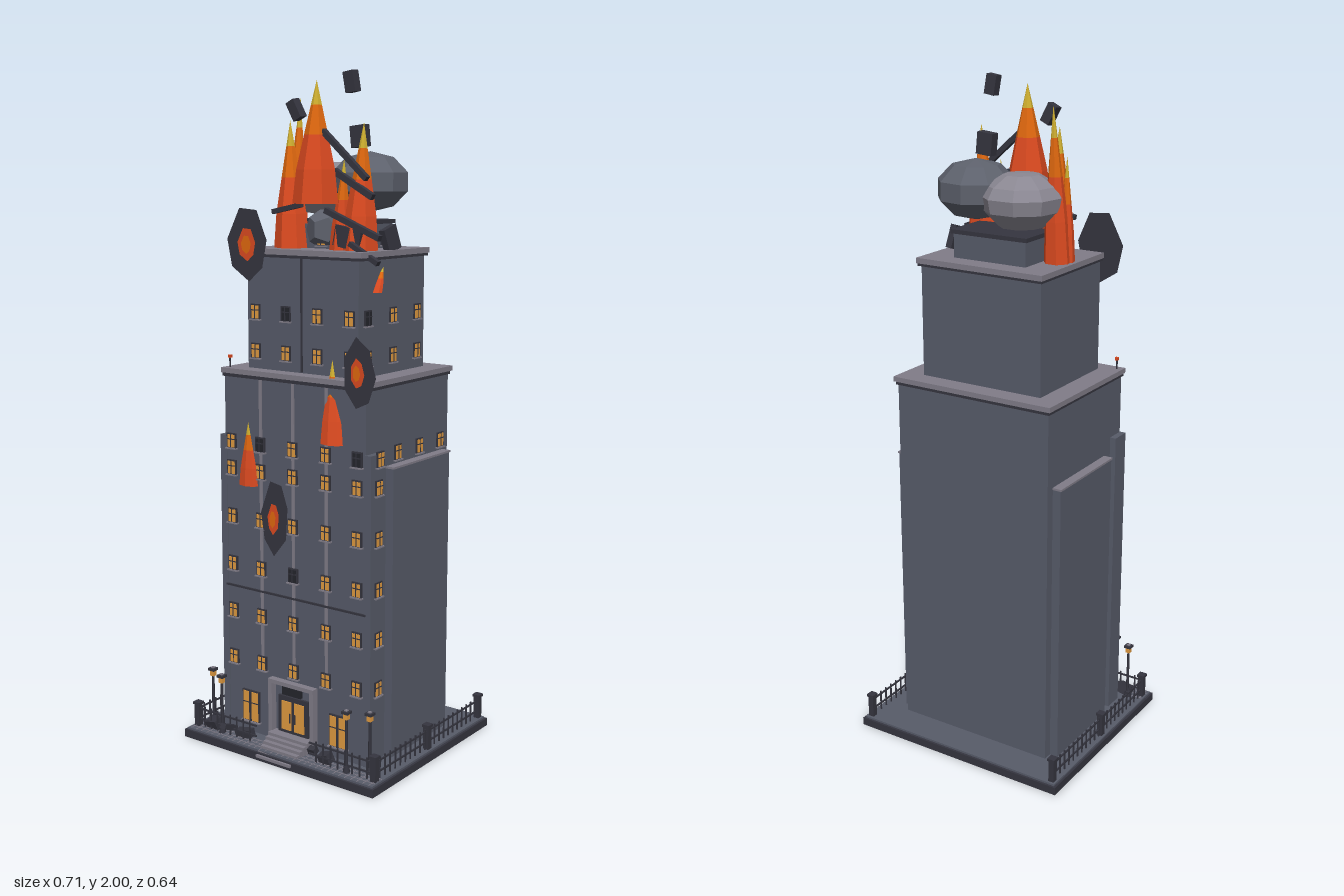
import * as THREE from 'three';

const mat = (name, color, extra = {}) => Object.assign(new THREE.MeshStandardMaterial({ color, ...extra }), { name });

export function createModel() {
  const root = new THREE.Group();
  root.name = 'burningTower';
  const D = { side: THREE.DoubleSide };
  const F = { flatShading: true };
  const wall = mat('wallSlate', 0x575b69);
  const trim = mat('paleTrim', 0x807c88);
  const dark = mat('darkMetal', 0x35353f, D);
  const black = mat('charBlack', 0x24252c);
  const glow = mat('windowGlow', 0xe09a40);
  const red = mat('fireRed', 0xdb4a20, { ...D, ...F });
  const orange = mat('fireOrange', 0xe0680f, { ...D, ...F });
  const yellow = mat('fireYellow', 0xd0b030, { ...D, ...F });
  const smokeDark = mat('smokeDark', 0x5d616c, F);
  const smokeLight = mat('smokeLight', 0x8a8792, F);

  const add = (name, geo, m, x = 0, y = 0, z = 0, parent = root) => {
    const mesh = new THREE.Mesh(geo, m);
    mesh.name = name;
    mesh.position.set(x, y, z);
    parent.add(mesh);
    return mesh;
  };
  const box = (name, m, w, h, d, x, y, z, parent) => add(name, new THREE.BoxGeometry(w, h, d), m, x, y, z, parent);
  // box given by its extents
  const block = (name, m, x0, x1, y0, y1, z0, z1) =>
    box(name, m, x1 - x0, y1 - y0, z1 - z0, (x0 + x1) / 2, (y0 + y1) / 2, (z0 + z1) / 2);

  // Base slab with paving
  block('baseSlab', dark, -0.355, 0.355, 0, 0.024, -0.32, 0.31);
  block('baseTop', wall, -0.348, 0.348, 0.02, 0.03, -0.313, 0.303);
  for (let i = -16; i <= 16; i++) box('pavingJoint', trim, 0.002, 0.002, 0.055, i * 0.021, 0.0305, 0.275);
  for (const z of [0.25, 0.268, 0.285]) box('pavingJoint', trim, 0.69, 0.002, 0.002, 0, 0.0305, z);

  // Tower masses, stepped
  block('mainTower', wall, -0.257, 0.257, 0.03, 1.14, -0.213, 0.21);
  block('mainCornice', trim, -0.267, 0.267, 1.138, 1.153, -0.223, 0.216);
  block('corniceShadow', dark, -0.262, 0.262, 1.128, 1.138, -0.218, 0.214);
  block('sideAnnex', wall, -0.283, 0.283, 0.03, 0.9, -0.185, 0.112);
  block('annexCap', trim, -0.286, 0.286, 0.897, 0.903, -0.187, 0.114);
  block('upperTower', wall, -0.2, 0.2, 1.15, 1.49, -0.163, 0.167);
  block('upperCornice', trim, -0.21, 0.21, 1.489, 1.505, -0.176, 0.17);
  block('upperCorniceEdge', dark, -0.207, 0.207, 1.481, 1.489, -0.172, 0.172);
  block('penthouse', wall, -0.12, 0.12, 1.5, 1.575, -0.115, 0.07);
  block('penthouseCap', dark, -0.126, 0.126, 1.575, 1.587, -0.121, 0.03);
  block('frontLedge', dark, -0.259, 0.259, 0.484, 0.49, 0.2, 0.215);
  for (const x of [-0.12, 0, 0.12]) block('pilaster', trim, x - 0.005, x + 0.005, 0.24, 1.13, 0.2, 0.213);
  block('upperSeam', dark, -0.003, 0.003, 1.155, 1.48, 0.16, 0.17);
  for (const s of [-1, 1]) block('cornerStrip', wall, s * 0.264 - 0.012, s * 0.264 + 0.012, 0.03, 0.95, 0.15, 0.212);

  // Window: dark frame, glowing panes, crossed bars; side=true turns it to face +x
  const windowAt = (x, y, z, side = false, lit = true, w = 0.034, h = 0.046) => {
    const g = new THREE.Group();
    g.name = 'window';
    box('windowFrame', dark, w, h, 0.006, 0, 0, 0, g);
    box('windowPane', lit ? glow : black, w - 0.008, h - 0.008, 0.004, 0, 0, 0.003, g);
    box('windowBar', dark, 0.003, h - 0.006, 0.004, 0, 0, 0.004, g);
    box('windowBar', dark, w - 0.006, 0.003, 0.004, 0, h * 0.12, 0.004, g);
    box('windowSill', trim, w + 0.006, 0.004, 0.012, 0, -h / 2, 0.002, g);
    g.position.set(x, y, z);
    if (side) g.rotation.y = Math.PI / 2;
    root.add(g);
  };
  const rows = [0.262, 0.41, 0.558, 0.706, 0.854, 0.935];
  rows.forEach((y, r) => {
    for (const x of [-0.23, -0.12, 0, 0.12, 0.23]) windowAt(x, y, 0.214, false, (r * 3 + Math.round(x * 20)) % 7 !== 6);
    if (r < 5) windowAt(0.276, y, 0.175, true);
  });
  for (const z of [0.17, 0.055, -0.058, -0.17]) windowAt(z > 0.15 ? 0.277 : 0.258, 0.935, z, true);
  for (const y of [1.205, 1.32]) {
    for (const x of [-0.17, -0.057, 0.057, 0.17]) windowAt(x, y, 0.168, false, !(y > 1.3 && x === -0.057));
    for (const z of [0.125, 0, -0.125]) windowAt(0.201, y, z, true, !(y > 1.3 && z > 0.1));
  }
  windowAt(0, 1.535, 0.071);
  windowAt(0.121, 1.535, -0.07, true);

  // Entrance: doors, surround, canopy plate and flanking shop windows
  block('doorFrame', dark, -0.056, 0.056, 0.065, 0.18, 0.205, 0.218);
  for (const s of [-1, 1]) {
    box('doorPanel', glow, 0.036, 0.09, 0.004, s * 0.024, 0.12, 0.219);
    box('doorHandle', dark, 0.004, 0.03, 0.006, s * 0.009, 0.115, 0.221);
    box('doorColumn', trim, 0.014, 0.19, 0.022, s * 0.078, 0.125, 0.22);
    windowAt(s * 0.165, 0.115, 0.214, false, true, 0.065, 0.1);
    box('shopBar', dark, 0.008, 0.095, 0.006, s * 0.165, 0.115, 0.218);
  }
  box('doorLintel', trim, 0.17, 0.012, 0.024, 0, 0.222, 0.22);
  box('blankPlate', black, 0.07, 0.024, 0.01, 0, 0.2, 0.222);
  for (let i = 0; i < 6; i++) block('step', trim, -0.074 + i * 0.002, 0.074 - i * 0.002, 0.012, 0.065 - i * 0.009, 0.2, 0.247 + i * 0.014);

  // Fence: posts, rails and pickets along the sides and the front
  const fence = (x0, z0, x1, z1) => {
    const len = Math.hypot(x1 - x0, z1 - z0);
    const n = Math.round(len / 0.026);
    for (const y of [0.052, 0.085]) {
      const r = box('fenceRail', dark, len, 0.005, 0.004, (x0 + x1) / 2, y, (z0 + z1) / 2);
      if (x0 === x1) r.rotation.y = Math.PI / 2;
    }
    for (let i = 1; i < n; i++) box('fencePicket', dark, 0.004, 0.065, 0.004, x0 + (x1 - x0) * i / n, 0.062, z0 + (z1 - z0) * i / n);
  };
  for (const s of [-1, 1]) {
    for (const z of [-0.297, -0.005, 0.27]) {
      box('fencePost', dark, 0.018, 0.075, 0.018, s * 0.333, 0.065, z);
      box('fencePostCap', dark, 0.024, 0.008, 0.024, s * 0.333, 0.103, z);
    }
    fence(s * 0.333, -0.28, s * 0.333, 0.27);
    fence(s * 0.333, 0.27, s * 0.1, 0.27);
    // Street lamps
    for (const [x, z] of [[0.235, 0.27], [0.296, 0.241]]) {
      add('lampBase', new THREE.CylinderGeometry(0.008, 0.011, 0.02, 8), dark, s * x, 0.04, z);
      add('lampPole', new THREE.CylinderGeometry(0.004, 0.005, 0.16, 8), dark, s * x, 0.11, z);
      box('lampLight', glow, 0.014, 0.018, 0.014, s * x, 0.2, z);
      box('lampCap', dark, 0.022, 0.008, 0.022, s * x, 0.212, z);
      box('lampCapTop', trim, 0.01, 0.004, 0.01, s * x, 0.217, z);
    }
    // Roof beacons
    box('beaconPole', dark, 0.004, 0.03, 0.004, s * 0.25, 1.167, 0.193);
    box('beaconLight', red, 0.009, 0.009, 0.009, s * 0.25, 1.185, 0.193);
  }

  // Flames: three stacked open frusta, leaning by (lx, lz) at the tip
  const flame = (x, y, z, r, h, lx = 0, lz = 0, flat = 1) => {
    const g = new THREE.Group();
    g.name = 'flame';
    const cuts = [[0, 1], [0.28, 0.84], [0.56, 0.52], [0.8, 0.24], [1, 0]];
    [red, red, orange, yellow].forEach((m, i) => {
      const [a, ra] = cuts[i], [b, rb] = cuts[i + 1];
      const geo = new THREE.CylinderGeometry(r * rb, r * ra, h * (b - a), 7, 1, i > 0);
      geo.translate(0, h * (a + b) / 2, 0);
      const p = geo.attributes.position;
      for (let k = 0; k < p.count; k++) {
        const t = p.getY(k) / h;
        p.setXYZ(k, p.getX(k) + lx * t, p.getY(k), p.getZ(k) * flat + lz * t);
      }
      geo.computeVertexNormals();
      add('flameTier', geo, m, 0, 0, 0, g);
    });
    g.position.set(x, y, z);
    root.add(g);
  };
  flame(0.022, 1.635, 0.126, 0.068, 0.34, 0.003, 0);
  flame(-0.16, 1.5, -0.01, 0.04, 0.44, 0.006, -0.02);
  flame(-0.105, 1.5, 0.073, 0.055, 0.37, -0.015, -0.01);
  flame(0.135, 1.5, 0.07, 0.055, 0.36, 0.005, -0.01);
  flame(-0.175, 1.5, 0.012, 0.026, 0.3, 0, 0);
  flame(0.08, 1.5, 0.085, 0.035, 0.26, 0.01, 0);
  flame(-0.16, 0.81, 0.222, 0.034, 0.19, 0, -0.002, 0.5);
  flame(0.146, 0.97, 0.222, 0.038, 0.235, -0.022, -0.035, 0.5);
  flame(0.2, 1.39, 0.085, 0.02, 0.07, 0.005, -0.03, 0.7);

  // Blast holes: ragged plates with a burning core
  const hole = (x, y, z, pts, core) => {
    const shape = k => new THREE.ShapeGeometry(new THREE.Shape(pts.map(([a, b]) => new THREE.Vector2(a * k, b * k))));
    add('blastHole', shape(1), dark, x, y, z);
    add('blastCore', shape(core), red, x, y, z + 0.004);
    add('blastEmber', shape(core * 0.55), orange, x, y, z + 0.007);
  };
  hole(-0.192, 1.515, 0.176, [[-0.03, 0.105], [0.035, 0.1], [0.072, 0.015], [0.055, -0.065], [0.005, -0.107], [-0.06, -0.065], [-0.077, 0.015]], 0.45);
  hole(-0.065, 0.72, 0.222, [[-0.012, 0.113], [0.03, 0.105], [0.052, 0.04], [0.046, -0.055], [0, -0.112], [-0.035, -0.065], [-0.048, 0.015]], 0.42);
  hole(0.235, 1.18, 0.221, [[-0.005, 0.1], [0.04, 0.065], [0.062, -0.01], [0.038, -0.08], [-0.005, -0.1], [-0.043, -0.05], [-0.045, 0.04]], 0.42);

  // Smoke puffs
  const puff = new THREE.SphereGeometry(0.119, 9, 5);
  puff.scale(1, 0.73, 0.98);
  add('darkSmoke', puff, smokeDark, 0.083, 1.695, -0.052);
  const pale = [[0, -0.08], [0.065, -0.07], [0.11, -0.025], [0.118, 0.015], [0.1, 0.045], [0.052, 0.075], [0, 0.078]];
  add('paleSmoke', new THREE.LatheGeometry(pale.map(p => new THREE.Vector2(...p)), 9), smokeLight, -0.068, 1.675, -0.052);
  add('charredHeap', new THREE.DodecahedronGeometry(0.06), smokeDark, 0, 1.56, 0.05);

  // Flying wreckage and beams: [w, h, d, x, y, z, tilt x, tilt z]
  const scraps = [
    [0.034, 0.058, 0.028, 0.13, 1.968, 0.105, 0.05, 0.15], [0.03, 0.056, 0.03, -0.065, 1.897, 0.105, 0.1, 0.45],
    [0.05, 0.062, 0.03, 0.047, 1.825, -0.052, 0, 0.1], [0.2, 0.016, 0.016, 0.125, 1.77, 0.13, 0, -0.72],
    [0.2, 0.016, 0.018, 0.15, 1.58, 0.128, 0, -0.38], [0.15, 0.018, 0.016, 0.13, 1.69, 0.095, 0, -0.5],
    [0.11, 0.014, 0.012, -0.09, 1.62, 0.117, 0, 0.2], [0.11, 0.014, 0.016, 0.19, 1.5, 0.128, 0, -0.5],
    [0.02, 0.07, 0.06, 0.19, 1.535, 0, 0.3, 0.1], [0.09, 0.06, 0.03, 0.12, 1.54, 0.1, 0, -0.2],
    [0.045, 0.03, 0.035, -0.28, 0.045, 0.255, 0.3, 0.2], [0.06, 0.025, 0.025, -0.16, 0.042, 0.252, 0.1, 0.2],
    [0.038, 0.03, 0.028, 0.15, 0.045, 0.255, 0.2, 0.3], [0.03, 0.02, 0.02, 0.085, 0.045, 0.235, 0.4, 0.1],
    [0.02, 0.016, 0.06, -0.2, 0.06, 0.28, -0.4, 0],
  ];
  for (const [w, h, d, x, y, z, rx, rz] of scraps) box('wreckage', dark, w, h, d, x, y, z).rotation.set(rx, 0, rz);

  return root;
}
